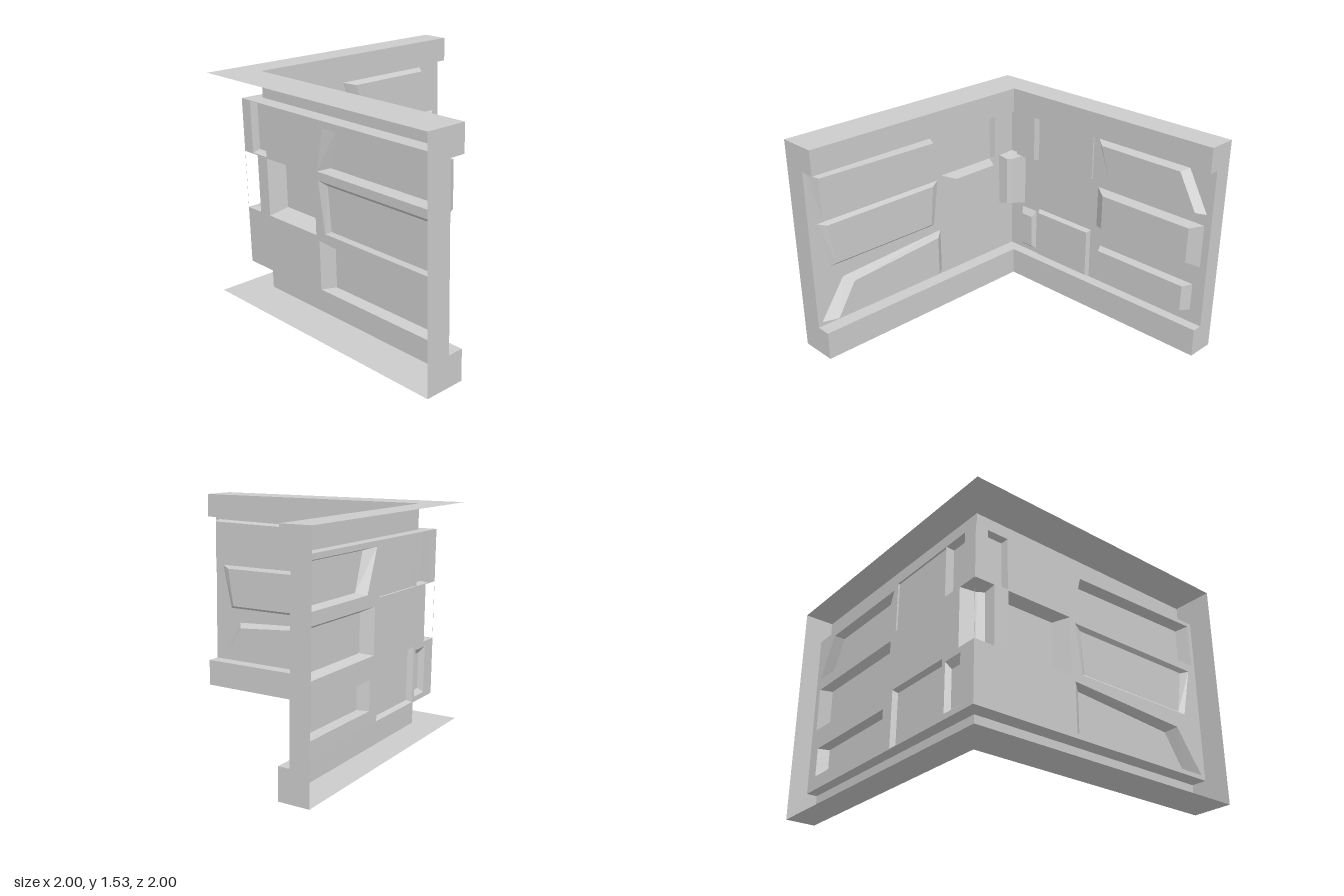
import * as THREE from 'three';

const material = new THREE.MeshStandardMaterial({ color: 0xcccccc, flatShading: true, side: THREE.DoubleSide });
const TOP = 1.53, HIGH = 1.355, LOW = 0.205; // wall top, panel top, panel bottom
const PANEL_X = -0.83, PANEL_Z = -0.87;

function mesh(name, geometry) {
  const m = new THREE.Mesh(geometry, material);
  m.name = name;
  return m;
}

// Geometry from four-cornered faces
function quads(list) {
  const pos = [];
  for (const [a, b, c, d] of list) pos.push(...a, ...b, ...c, ...a, ...c, ...d);
  const g = new THREE.BufferGeometry();
  g.setAttribute('position', new THREE.Float32BufferAttribute(pos, 3));
  g.computeVertexNormals();
  return g;
}

const shapeOf = (pts) => new THREE.Shape(pts.map(([x, y]) => new THREE.Vector2(x, y)));
const box = (x0, y0, x1, y1) => [[x0, y0], [x1, y0], [x1, y1], [x0, y1]];

// Pull an outline in slightly so neighbouring holes never touch
function shrink(pts) {
  const cx = pts.reduce((s, p) => s + p[0], 0) / pts.length;
  const cy = pts.reduce((s, p) => s + p[1], 0) / pts.length;
  return pts.map(([x, y]) => [cx + (x - cx) * 0.995, cy + (y - cy) * 0.995]);
}

// Raised hollow block: sloped sides from the outer outline to a flat face
function block({ name, outer, inner, depth }) {
  const g = new THREE.Group();
  g.name = name;
  const edge = shrink(outer);
  g.add(mesh('blockSides', quads(edge.map((p, i) => {
    const j = (i + 1) % edge.length;
    return [[...p, 0], [...edge[j], 0], [...inner[j], depth], [...inner[i], depth]];
  }))));
  const face = mesh('blockFace', new THREE.ShapeGeometry(shapeOf(inner)));
  face.position.z = depth;
  g.add(face);
  return g;
}

// Panel with a hole behind every block
function wall(name, x0, x1, blocks, cornerHole) {
  const g = new THREE.Group();
  g.name = name;
  const shape = shapeOf(box(x0, LOW, x1, HIGH));
  for (const o of [...blocks.map((b) => b.outer), cornerHole]) {
    shape.holes.push(new THREE.Path(shrink(o).map(([x, y]) => new THREE.Vector2(x, y))));
  }
  g.add(mesh('panel', new THREE.ShapeGeometry(shape)));
  blocks.forEach((b) => g.add(block(b)));
  return g;
}

const backBlocks = [
  { name: 'upperSlantedBlock', depth: 0.06,
    outer: [[0.14, 1.035], [0.96, 1.035], [0.8, 1.32], [0.03, 1.32]],
    inner: [[0.19, 1.052], [0.905, 1.052], [0.765, 1.3], [0.105, 1.3]] },
  { name: 'middleLongBlock', depth: 0.055,
    outer: box(0.04, 0.645, 0.95, 0.955), inner: box(0.13, 0.672, 0.865, 0.925) },
  { name: 'lowerLongBlock', depth: 0.07,
    outer: box(0.085, 0.3, 0.905, 0.5), inner: box(0.125, 0.306, 0.865, 0.494) },
  { name: 'lowerSquareBlock', depth: 0.035,
    outer: box(-0.53, 0.21, -0.01, 0.595), inner: box(-0.508, 0.225, -0.022, 0.578) },
  { name: 'lowerNarrowBlock', depth: 0.035,
    outer: box(-0.705, 0.24, -0.56, 0.565), inner: box(-0.68, 0.27, -0.578, 0.52) },
  { name: 'upperNarrowBlock', depth: 0.055,
    outer: box(-0.725, 1.0, -0.538, 1.352), inner: box(-0.72, 1.008, -0.543, 1.345) },
  { name: 'upperFlatBlock', depth: 0.012,
    outer: box(-0.534, 1.0, -0.01, 1.352), inner: box(-0.532, 1.002, -0.012, 1.35) },
];

// Side wall is drawn facing forward, then turned; its x runs toward the back
const sideBlocks = [
  { name: 'upperLongBlock', depth: 0.085,
    outer: [[-0.975, 1.025], [0.12, 1.025], [0.05, 1.31], [-0.97, 1.33]],
    inner: [[-0.94, 1.034], [0.085, 1.034], [0.01, 1.302], [-0.94, 1.318]] },
  { name: 'middleTaperedBlock', depth: 0.022,
    outer: [[-0.855, 0.63], [0.06, 0.63], [0.11, 0.97], [-0.935, 0.97]],
    inner: [[-0.82, 0.65], [0.02, 0.65], [0.045, 0.945], [-0.87, 0.945]] },
  { name: 'lowerSlantedBlock', depth: 0.065,
    outer: [[-0.97, 0.235], [0.12, 0.235], [0.12, 0.57], [-0.77, 0.52]],
    inner: [[-0.87, 0.255], [0.04, 0.255], [0.04, 0.55], [-0.72, 0.49]] },
  { name: 'middleSquareBlock', depth: 0.105,
    outer: box(0.145, 0.6, 0.63, 0.997), inner: box(0.2, 0.65, 0.57, 0.985) },
  { name: 'upperNarrowBlock', depth: 0.05,
    outer: box(0.632, 1.003, 0.78, 1.352), inner: box(0.64, 1.02, 0.77, 1.345) },
];

// Faceted stone wrapping the inside corner
function cornerStone() {
  const plan = [[-0.83, -0.73], [-0.75, -0.735], [-0.72, -0.775], [-0.685, -0.87]];
  const at = ([x, z], i, top) => {
    const bevel = i === 1 || i === 2 ? 0.015 : 0;
    return [x, top ? 0.997 - bevel : 0.6 + bevel, z];
  };
  const faces = [];
  for (let i = 0; i < 3; i++) {
    faces.push([at(plan[i], i, 0), at(plan[i + 1], i + 1, 0), at(plan[i + 1], i + 1, 1), at(plan[i], i, 1)]);
  }
  const c = [PANEL_X, PANEL_Z];
  const ring = (top) => plan.map((p, i) => at(p, i, top));
  for (const top of [0, 1]) {
    const r = ring(top), k = at(c, 0, top);
    for (let i = 0; i < 3; i++) {
      faces.push(top ? [k, r[i], r[i + 1], k] : [k, r[i + 1], r[i], k]);
    }
  }
  return mesh('cornerStone', quads(faces));
}

// Top and bottom bands, open at the back, swept round the corner
function bands() {
  const stations = [
    { outer: [-1, 1], band: [-0.725, 1], panel: [PANEL_X, 1] },
    { outer: [-1, -0.99], band: [-0.725, -0.785], panel: [PANEL_X, PANEL_Z] },
    { outer: [1, -1], band: [1, -0.797], panel: [1, PANEL_Z] },
  ];
  const profile = (s) => {
    const p = (k, y) => [s[k][0], y, s[k][1]];
    return [p('outer', 0), p('band', 0), p('band', LOW), p('panel', LOW),
      p('panel', HIGH), p('band', HIGH), p('band', TOP), p('outer', TOP)];
  };
  const rows = stations.map(profile);
  const g = new THREE.Group();
  g.name = 'bands';
  const strip = (name, from, to) => {
    const faces = [];
    for (let s = 0; s < 2; s++) {
      for (let i = from; i < to; i++) {
        faces.push([rows[s][i], rows[s + 1][i], rows[s + 1][i + 1], rows[s][i + 1]]);
      }
    }
    g.add(mesh(name, quads(faces)));
  };
  strip('bottomBand', 0, 3);
  strip('topBand', 4, 7);

  // End caps with a notched outline
  const sideCap = mesh('sideEndCap', new THREE.ShapeGeometry(shapeOf(rows[0].map(([x, y]) => [x, y]))));
  sideCap.position.z = 1;
  const backCap = mesh('backEndCap', new THREE.ShapeGeometry(shapeOf(rows[2].map(([, y, z]) => [-z, y]))));
  backCap.rotation.y = Math.PI / 2;
  backCap.position.x = 1;
  g.add(sideCap, backCap);
  return g;
}

export function createModel() {
  const model = new THREE.Group();
  model.name = 'cornerWall';
  const back = wall('backWall', PANEL_X, 1, backBlocks, box(-0.829, 0.6, -0.685, 0.997));
  back.position.z = PANEL_Z;
  const side = wall('sideWall', -1, -PANEL_Z, sideBlocks, box(0.73, 0.6, 0.869, 0.997));
  side.rotation.y = Math.PI / 2;
  side.position.x = PANEL_X;
  model.add(bands(), back, side, cornerStone());
  return model;
}
